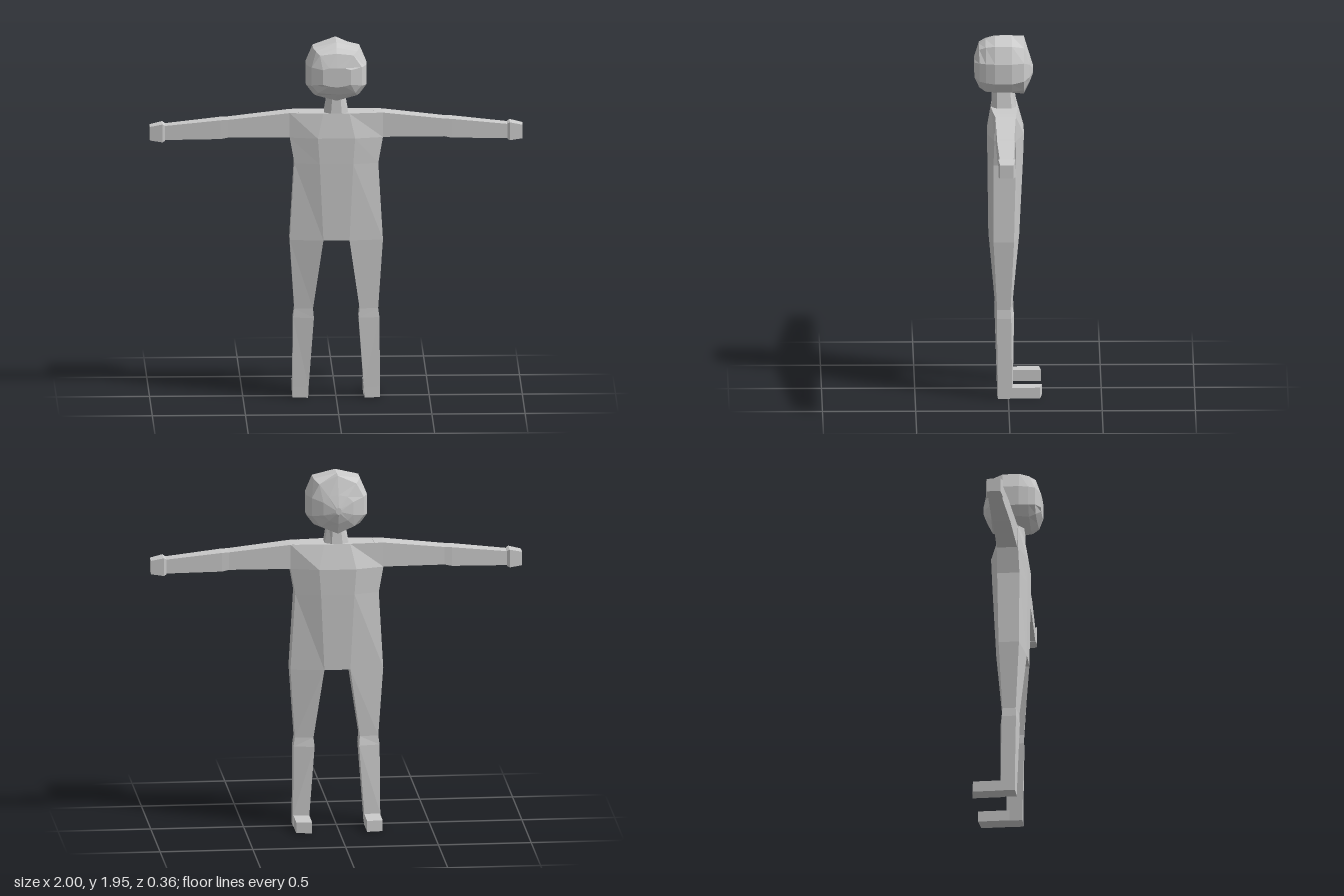
import * as THREE from 'three';

const material = new THREE.MeshStandardMaterial({ color: 0xcccccc, flatShading: true });

// Skin a list of closed rings (arrays of [x, y, z]) and close both ends
function loft(name, rings, mirrored = false) {
  const s = mirrored ? -1 : 1;
  const R = rings.map(r => r.map(([x, y, z]) => new THREE.Vector3(x * s, y, z)));
  const n = R[0].length, tris = [];
  const centre = r => r.reduce((a, p) => a.add(p), new THREE.Vector3()).divideScalar(n);
  const first = centre(R[0]), last = centre(R[R.length - 1]);
  for (let j = 0; j < n; j++) {
    const k = (j + 1) % n;
    for (let i = 0; i < R.length - 1; i++) {
      const a = R[i][j], b = R[i][k], c = R[i + 1][k], d = R[i + 1][j];
      tris.push([a, b, c], [a, c, d]);
    }
    tris.push([first, R[0][k], R[0][j]], [last, R[R.length - 1][j], R[R.length - 1][k]]);
  }
  // A negative volume means the faces point inwards
  const mid = first.clone().add(last).multiplyScalar(0.5);
  const v = new THREE.Vector3(), w = new THREE.Vector3(), u = new THREE.Vector3();
  const volume = tris.reduce((t, [a, b, c]) =>
    t + u.subVectors(a, mid).dot(v.subVectors(b, mid).cross(w.subVectors(c, mid))), 0);
  const pos = tris.flatMap(([a, b, c]) => (volume < 0 ? [a, c, b] : [a, b, c]).flatMap(p => p.toArray()));
  const g = new THREE.BufferGeometry();
  g.setAttribute('position', new THREE.Float32BufferAttribute(pos, 3));
  g.computeVertexNormals();
  const mesh = new THREE.Mesh(g, material);
  mesh.name = name;
  return mesh;
}

// Eight-sided torso section: half width, centre panel half width, side and centre depths
const torsoRing = ([y, w, m, sf, sb, cf, cb]) => [
  [w, y, sf], [m, y, cf], [-m, y, cf], [-w, y, sf],
  [-w, y, sb], [-m, y, cb], [m, y, cb], [w, y, sb]];

// Four-sided leg section: outer and inner x with their depths
const legRing = ([y, xo, of, ob, xi, inf, inb]) =>
  [[xo, y, of], [xi, y, inf], [xi, y, inb], [xo, y, ob]];

// Four-sided arm section at x
const armRing = ([x, y0, y1, zf, zb]) => [[x, y0, zf], [x, y1, zf], [x, y1, zb], [x, y0, zb]];

// Head section across z: right half outline from top to bottom, mirrored
const headRing = ([z, ...half]) => [
  ...half.map(([x, y]) => [x, y, z]),
  ...half.slice(1, -1).reverse().map(([x, y]) => [-x, y, z])];

export function createModel() {
  const model = new THREE.Group();
  model.name = 'figure';

  model.add(loft('torso', [
    [0.87, 0.25, 0.07, 0.08, -0.03, 0.105, -0.06],
    [1.29, 0.225, 0.09, 0.08, -0.04, 0.11, -0.08],
    [1.43, 0.25, 0.1, 0.075, -0.04, 0.11, -0.085],
    [1.563, 0.25, 0.07, 0.07, -0.04, 0.09, -0.05],
  ].map(torsoRing)));

  model.add(loft('neck', [
    [1.55, 0.067, 0.03, 0.06, -0.02, 0.09, -0.045],
    [1.68, 0.045, 0.02, 0.06, -0.01, 0.085, -0.035],
  ].map(torsoRing)));

  model.add(loft('head', [
    [0.18, [0, 1.83], [0.04, 1.83], [0.075, 1.82], [0.075, 1.74], [0.04, 1.73], [0, 1.725]],
    [0.155, [0, 1.905], [0.09, 1.895], [0.135, 1.83], [0.135, 1.73], [0.1, 1.69], [0, 1.68]],
    [0.12, [0, 1.93], [0.11, 1.91], [0.15, 1.83], [0.15, 1.725], [0.11, 1.67], [0, 1.64]],
    [0.07, [0, 1.95], [0.125, 1.92], [0.163, 1.83], [0.163, 1.72], [0.125, 1.67], [0, 1.635]],
    [-0.02, [0, 1.95], [0.125, 1.92], [0.163, 1.83], [0.163, 1.72], [0.125, 1.67], [0, 1.632]],
    [-0.085, [0, 1.95], [0.1, 1.905], [0.14, 1.83], [0.14, 1.73], [0.09, 1.67], [0, 1.63]],
    [-0.115, [0, 1.85], [0.05, 1.84], [0.08, 1.81], [0.08, 1.74], [0.05, 1.71], [0, 1.69]],
    [-0.135, [0, 1.785], [0.01, 1.78], [0.015, 1.77], [0.015, 1.76], [0.01, 1.75], [0, 1.745]],
  ].map(headRing)));

  for (const [side, mirrored] of [['left', false], ['right', true]]) {
    model.add(loft(side + 'Arm', [
      [0.2, 1.432, 1.565, 0.07, -0.04],
      [0.25, 1.43, 1.563, 0.07, -0.04],
      [0.58, 1.43, 1.527, 0.065, -0.028],
      [0.62, 1.422, 1.525, 0.065, -0.03],
      [0.93, 1.416, 1.492, 0.053, -0.02],
    ].map(armRing), mirrored));

    model.add(loft(side + 'Hand', [
      [0.918, 1.412, 1.495, 0.055, -0.022],
      [0.932, 1.405, 1.503, 0.062, -0.03],
      [1.0, 1.414, 1.488, 0.053, -0.02],
    ].map(armRing), mirrored));

    model.add(loft(side + 'Leg', [
      [0.87, 0.25, 0.08, -0.03, 0.07, 0.105, -0.06],
      [0.49, 0.225, 0.06, -0.012, 0.125, 0.07, -0.022],
      [0.44, 0.232, 0.062, -0.015, 0.12, 0.072, -0.032],
      [0.06, 0.235, 0.056, -0.02, 0.148, 0.06, -0.025],
      [0, 0.235, 0.056, -0.02, 0.152, 0.06, -0.025],
    ].map(legRing), mirrored));

    // Foot reaching out from the ankle, with a slightly slanted toe edge
    model.add(loft(side + 'Foot', [
      [0, 0.233, -0.01, -0.17, 0.148, -0.01, -0.18],
      [0.06, 0.233, -0.01, -0.17, 0.148, -0.01, -0.18],
    ].map(legRing), mirrored));
  }
  return model;
}
